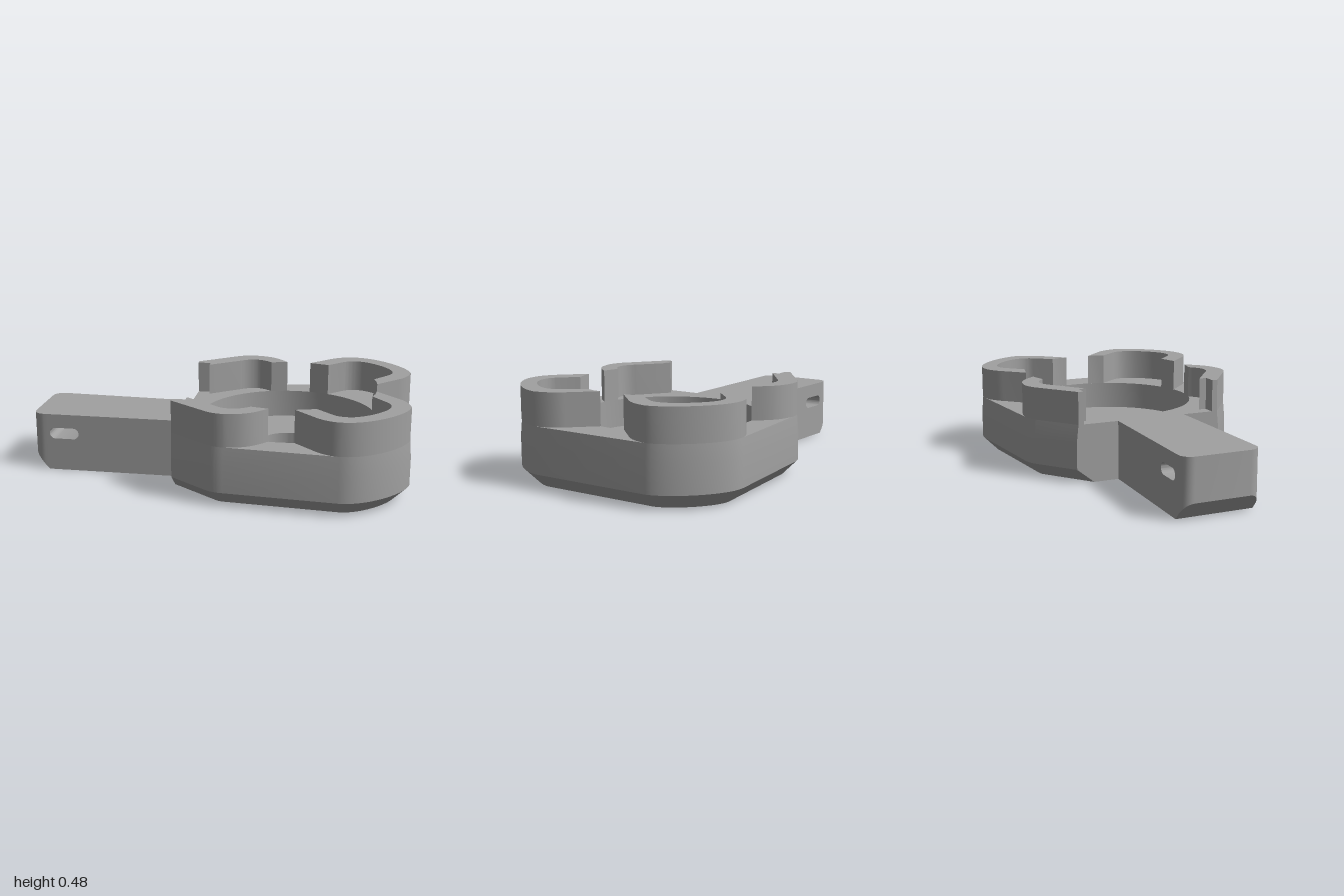
import * as THREE from 'three';
import { toCreasedNormals } from 'three/addons/utils/BufferGeometryUtils.js';

const gray = new THREE.MeshStandardMaterial({ color: 0xa0a0a0, side: THREE.DoubleSide });
gray.name = 'plain gray';

const DECK = 0.31, TOP = 0.48, FLOOR = 0.16;   // heights
const CX = 0.355, RIM = 0.465, BORE = 0.145;   // round pocket and centre hole
const LEFT = -0.2;                             // where the arm meets the body

function part(name, geometry) {
  const mesh = new THREE.Mesh(toCreasedNormals(geometry, 0.5), gray);
  mesh.name = name;
  return mesh;
}

// Joins equal-length closed rings of [x, y, z] points with quads
function loft(rings) {
  const pos = [];
  for (let k = 0; k < rings.length - 1; k++) {
    const lo = rings[k], hi = rings[k + 1], n = lo.length;
    for (let i = 0; i < n; i++) {
      const j = (i + 1) % n;
      pos.push(...lo[i], ...lo[j], ...hi[j], ...lo[i], ...hi[j], ...hi[i]);
    }
  }
  const g = new THREE.BufferGeometry();
  g.setAttribute('position', new THREE.Float32BufferAttribute(pos, 3));
  g.computeVertexNormals();
  return g;
}

// Plan points are (x, -z), so they run counterclockwise seen from above
const ring = (pts, y) => pts.map(p => [p.x, y, -p.y]);

function plate(pts, y, holes, down = false) {
  const shape = new THREE.Shape(pts);
  shape.holes = holes.map(h => new THREE.Path(h));
  const g = new THREE.ShapeGeometry(shape);
  g.rotateX(-Math.PI / 2).translate(0, y, 0);
  if (down) {
    const ix = g.index.array;
    for (let i = 0; i < ix.length; i += 3) [ix[i], ix[i + 1]] = [ix[i + 1], ix[i]];
    g.computeVertexNormals();
  }
  return g;
}

const circle = r => Array.from({ length: 96 }, (_, i) => {
  const a = i / 96 * Math.PI * 2;
  return new THREE.Vector2(CX + r * Math.cos(a), r * Math.sin(a));
});

// Body outline: one half, then its mirror
function bodyOutline() {
  const s = new THREE.Path();
  s.moveTo(LEFT, -0.41).lineTo(0, -0.56);
  s.quadraticCurveTo(0.04, -0.59, 0.1, -0.592);
  s.lineTo(0.66, -0.637);
  s.bezierCurveTo(0.8, -0.645, 0.98, -0.46, 1, -0.33);
  const half = s.getPoints(14);
  return [...half, ...half.map(p => new THREE.Vector2(p.x, -p.y)).reverse()];
}

// Moves the outline inward by d, keeping the arm side in its plane
function inset(pts, d) {
  const n = pts.length;
  const normal = (a, b) => new THREE.Vector2(b.y - a.y, a.x - b.x).normalize();
  return pts.map((p, i) => {
    const next = normal(p, pts[(i + 1) % n]), prev = normal(pts[(i + n - 1) % n], p);
    if (i === 0) return new THREE.Vector2(LEFT, p.y - d / next.y);
    if (i === n - 1) return new THREE.Vector2(LEFT, p.y - d / prev.y);
    const m = next.clone().add(prev).normalize();
    return p.clone().addScaledVector(m, -d / m.dot(next));
  });
}

// Rounded slot as plan points
function slotPoints(cx, cy, halfLength, r) {
  const p = new THREE.Path();
  p.absarc(cx + halfLength - r, cy, r, -Math.PI / 2, Math.PI / 2);
  p.absarc(cx - halfLength + r, cy, r, Math.PI / 2, Math.PI * 1.5);
  return p.getPoints(10);
}

function buildBody() {
  const body = new THREE.Group();
  body.name = 'body';
  const outline = bodyOutline(), base = inset(outline, 0.075), deck = inset(outline, 0.008);
  body.add(part('bodySides', loft([
    ring(base, 0), ring(outline, 0.075), ring(outline, 0.22), ring(deck, DECK)])));
  body.add(part('deck', plate(deck, DECK, [circle(RIM)])));

  // Blind strap slots in the underside
  const slots = [-1, 1].map(m => slotPoints(CX, m * 0.42, 0.2, 0.02));
  body.add(part('underside', plate(base, 0, [circle(BORE), ...slots], true)));
  slots.forEach(pts => {
    body.add(part('strapSlotWall', loft([ring(pts, 0.08), ring(pts, 0)])));
    body.add(part('strapSlotEnd', plate(pts, 0.08, [], true)));
  });

  // Round pocket with a through hole
  const profile = [[RIM, DECK], [RIM, FLOOR], [BORE, FLOOR], [BORE, 0]].map(p => new THREE.Vector2(...p));
  const pocket = part('pocket', new THREE.LatheGeometry(profile, 96));
  pocket.position.x = CX;
  body.add(pocket);
  return body;
}

// Hooked wall at the wide end; m mirrors it
function widePost(m) {
  const s = new THREE.Shape();
  s.moveTo(0.43, 0.46 * m).lineTo(0.52, 0.55 * m);
  s.quadraticCurveTo(0.59, 0.629 * m, 0.67, 0.629 * m);
  s.bezierCurveTo(0.8, 0.635 * m, 0.972, 0.46 * m, 0.992, 0.33 * m);
  s.quadraticCurveTo(0.98, 0.24 * m, 0.93, 0.19 * m);
  s.lineTo(0.815, 0.07 * m);
  s.lineTo(0.81, 0.12 * m).lineTo(0.795, 0.165 * m);
  s.lineTo(0.87, 0.26 * m);
  s.quadraticCurveTo(0.91, 0.31 * m, 0.88, 0.38 * m);
  s.bezierCurveTo(0.86, 0.43 * m, 0.79, 0.51 * m, 0.72, 0.535 * m);
  s.quadraticCurveTo(0.66, 0.55 * m, 0.62, 0.515 * m);
  s.lineTo(0.535, 0.43 * m);
  return s;
}

// Hooked wall beside the arm, with a stepped end
function armPost(m) {
  const s = new THREE.Shape();
  s.moveTo(LEFT, 0.4 * m).lineTo(0, 0.551 * m);
  s.quadraticCurveTo(0.04, 0.582 * m, 0.1, 0.584 * m);
  s.bezierCurveTo(0.2, 0.575 * m, 0.24, 0.54 * m, 0.3, 0.462 * m);
  s.lineTo(0.21, 0.441 * m);
  s.quadraticCurveTo(0.16, 0.49 * m, 0.12, 0.49 * m);
  s.quadraticCurveTo(0.07, 0.49 * m, 0.03, 0.45 * m);
  s.lineTo(-0.13, 0.33 * m).lineTo(-0.13, 0.37 * m).lineTo(LEFT, 0.37 * m);
  return s;
}

function post(name, shape) {
  const g = new THREE.ExtrudeGeometry(shape, { depth: TOP - DECK, bevelEnabled: false, curveSegments: 14 });
  g.rotateX(-Math.PI / 2).translate(0, DECK, 0);
  return part(name, g);
}

function buildArm() {
  const arm = new THREE.Group();
  arm.name = 'arm';
  const back = x => -0.18 - 0.037 * (LEFT - x) / 0.8;
  const front = x => 0.2 - 0.005 * (LEFT - x) / 0.8;

  // Straight length with a cross slot, tapered towards the body
  const side = new THREE.Shape();
  side.moveTo(-0.92, 0).lineTo(LEFT, 0).lineTo(LEFT, DECK).lineTo(-0.92, DECK);
  side.holes.push(new THREE.Path(slotPoints(-0.83, 0.205, 0.08, 0.03)));
  const g = new THREE.ExtrudeGeometry(side, { depth: 1, bevelEnabled: false });
  const p = g.attributes.position;
  for (let i = 0; i < p.count; i++) p.setZ(i, p.getZ(i) > 0.5 ? front(p.getX(i)) : back(p.getX(i)));
  arm.add(part('armBeam', g));

  // Tip with rounded upright corners and a sloped lower edge
  const r = 0.06, slices = [];
  const slice = (x, inward) => {
    const y = 0.09 * Math.max(0, (-0.92 - x) / 0.08), a = back(x) + inward, b = front(x) - inward;
    return [[x, y, a], [x, DECK, a], [x, DECK, b], [x, y, b]];
  };
  for (let i = 0; i <= 8; i++) {
    const t = i / 8 * Math.PI / 2;
    slices.push(slice(-1 + r * (1 - Math.cos(t)), r * (1 - Math.sin(t))));
  }
  slices.push(slice(-0.92, 0));
  const centre = slices[0].map(() => [-1, 0.2, 0]);
  const tip = loft([centre, ...slices].map(s => s.slice().reverse()));
  arm.add(part('armTip', tip));
  return arm;
}

export function createModel() {
  const model = new THREE.Group();
  model.name = 'mountBracket';
  model.add(buildBody(), buildArm());
  for (const m of [-1, 1]) model.add(post('widePost', widePost(m)), post('armPost', armPost(m)));
  return model;
}
